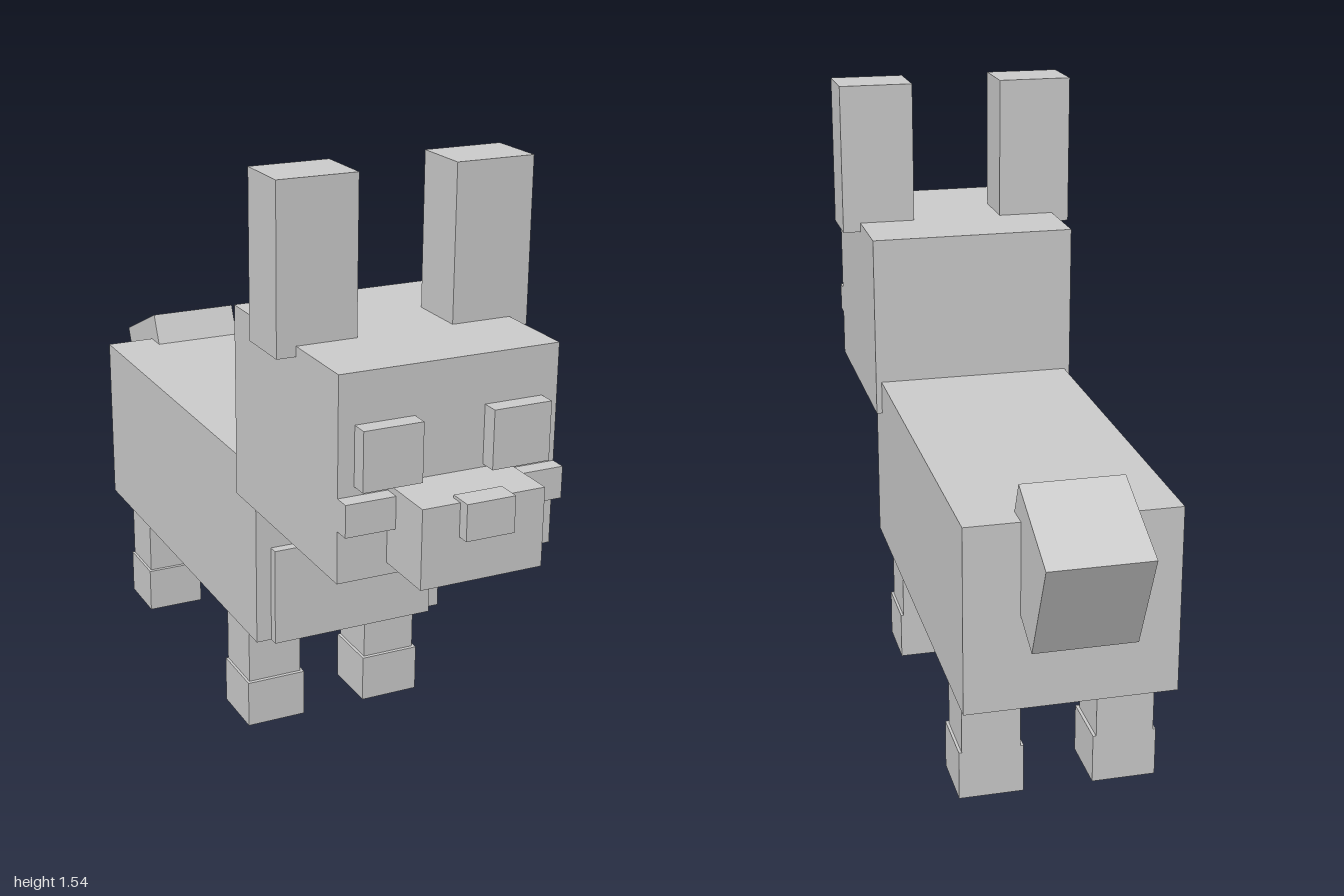
import * as THREE from 'three';

export function createModel() {
  const model = new THREE.Group();
  model.name = 'blockyDog';
  const grey = new THREE.MeshStandardMaterial({ color: 0xcccccc });
  grey.name = 'light grey';

  // Box given by its lower and upper limits on each axis
  function box(name, [x0, x1], [y0, y1], [z0, z1]) {
    const mesh = new THREE.Mesh(new THREE.BoxGeometry(x1 - x0, y1 - y0, z1 - z0), grey);
    mesh.position.set((x0 + x1) / 2, (y0 + y1) / 2, (z0 + z1) / 2);
    mesh.name = name;
    model.add(mesh);
    return mesh;
  }

  // Box on the left side and its mirror on the right
  function pair(name, [x0, x1], y, z) {
    box(name + 'Left', [x0, x1], y, z);
    box(name + 'Right', [-x1, -x0], y, z);
  }

  // Trunk
  box('body', [-0.26, 0.26], [0.29, 0.76], [-0.785, 0.32]);
  box('chest', [-0.22, 0.22], [0.29, 0.545], [0.3, 0.345]);
  box('neck', [-0.2, 0.2], [0.64, 0.74], [0.26, 0.38]);

  // Head and face
  box('head', [-0.275, 0.275], [0.67, 1.16], [0.235, 0.81]);
  box('cheeks', [-0.275, 0.275], [0.797, 0.875], [0.79, 0.85]);
  box('snout', [-0.152, 0.152], [0.7, 0.89], [0.79, 0.97]);
  box('nose', [-0.06, 0.06], [0.81, 0.897], [0.94, 1]);
  pair('eye', [0.088, 0.235], [0.897, 1.04], [0.79, 0.853]);
  pair('ear', [0.123, 0.323], [1.135, 1.54], [0.44, 0.593]);

  // Legs with slightly wider feet
  for (const [name, z] of [['front', 0.075], ['back', -0.675]]) {
    pair(name + 'Leg', [0.095, 0.24], [0.1, 0.3], [z, z + 0.146]);
    pair(name + 'Foot', [0.087, 0.247], [0, 0.125], [z, z + 0.156]);
  }

  // Tilted tail
  const tail = box('tail', [-0.125, 0.125], [0.525, 0.8], [-0.954, -0.692]);
  tail.rotation.x = -0.42;

  return model;
}
